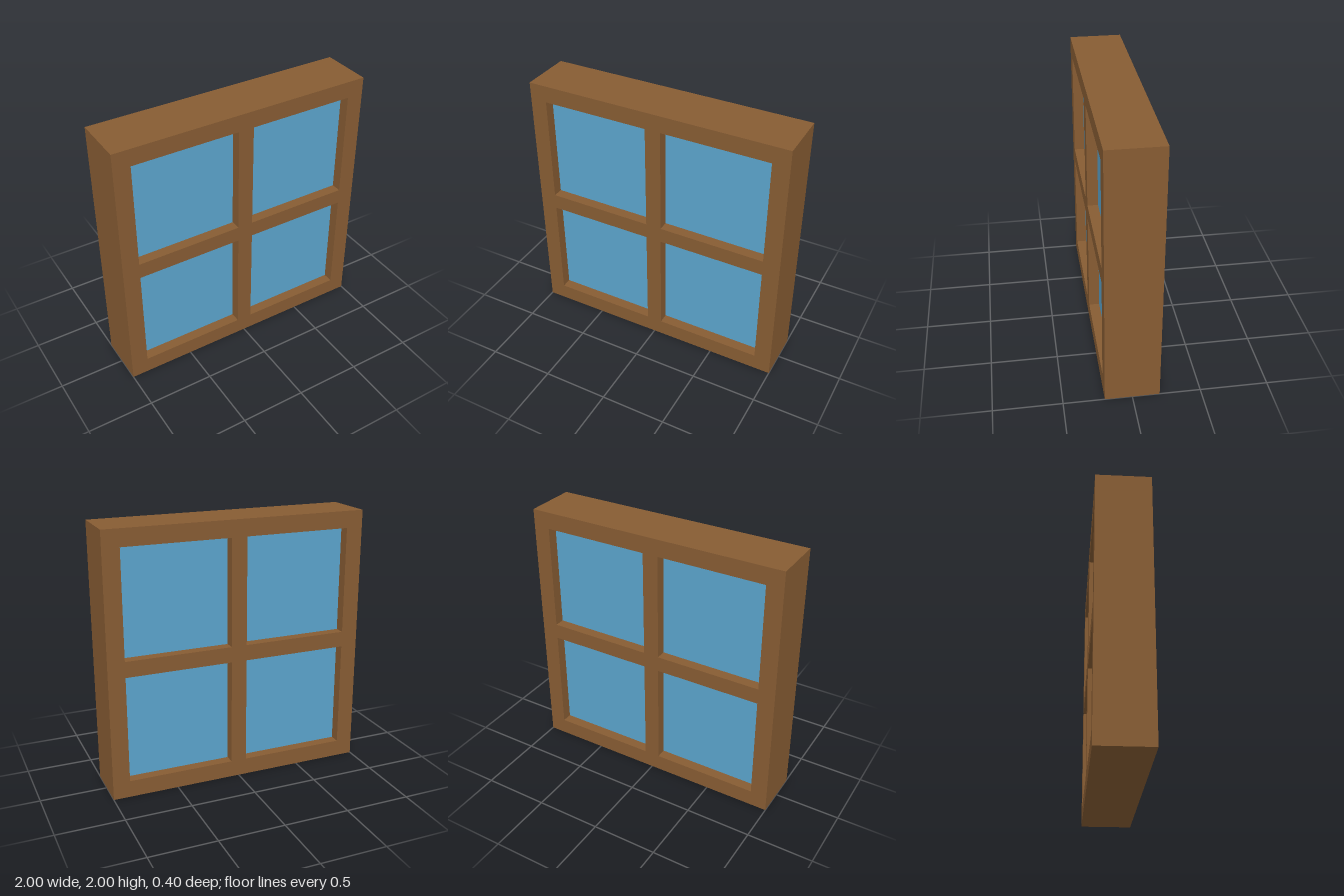
import * as THREE from 'three';

export function createModel() {
  const wood = new THREE.MeshStandardMaterial({ name: 'brown wood', color: 0x875c33 });
  const glass = new THREE.MeshStandardMaterial({ name: 'blue glass', color: 0x5ba4cc });
  const model = new THREE.Group();
  model.name = 'window';

  const depth = 0.4, glassDepth = 0.24; // panes are recessed on both faces
  const inner = 0.06, outer = 0.872;    // pane edges measured from the centre
  const mid = (inner + outer) / 2, size = outer - inner;

  // Square frame with four openings, leaving a cross of glazing bars
  const shape = new THREE.Shape();
  shape.moveTo(-1, -1).lineTo(1, -1).lineTo(1, 1).lineTo(-1, 1).closePath();

  for (const sx of [-1, 1]) {
    for (const sy of [-1, 1]) {
      const cx = sx * mid, cy = sy * mid, h = size / 2;
      const hole = new THREE.Path();
      hole.moveTo(cx - h, cy - h).lineTo(cx - h, cy + h).lineTo(cx + h, cy + h).lineTo(cx + h, cy - h).closePath();
      shape.holes.push(hole);

      // Thick pane filling the middle of each opening
      const pane = new THREE.Mesh(new THREE.BoxGeometry(size, size, glassDepth), glass);
      pane.name = (sy > 0 ? 'upper' : 'lower') + (sx > 0 ? 'Left' : 'Right') + 'Pane';
      pane.position.set(cx, 1 + cy, 0);
      model.add(pane);
    }
  }

  const frame = new THREE.Mesh(new THREE.ExtrudeGeometry(shape, { depth, bevelEnabled: false }), wood);
  frame.name = 'frame';
  frame.position.set(0, 1, -depth / 2);
  model.add(frame);

  return model;
}
